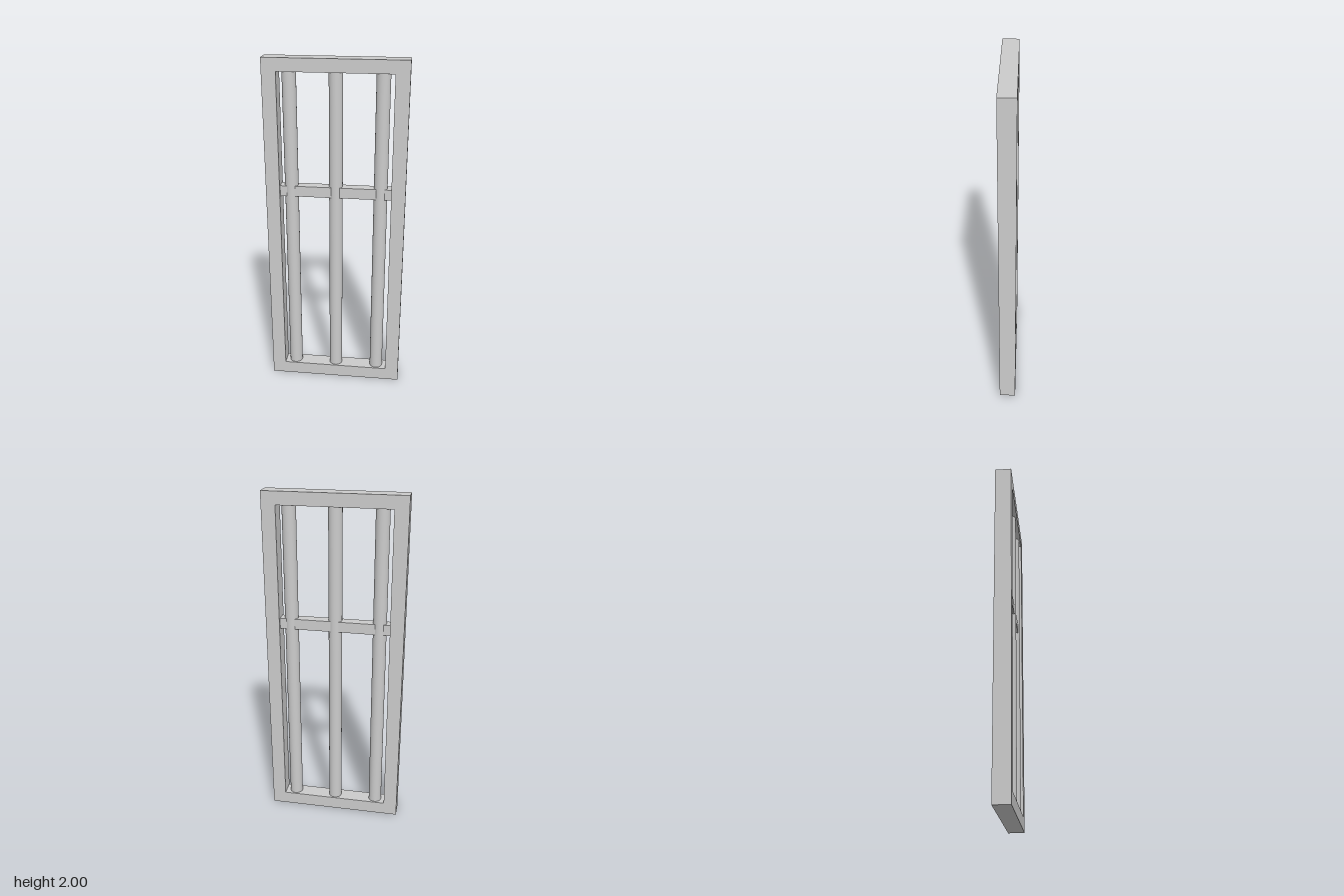
import * as THREE from 'three';

export function createModel() {
  const model = new THREE.Group();
  const material = new THREE.MeshStandardMaterial({ color: 0xcccccc });
  const add = (name, geometry, x, y, z) => {
    const mesh = new THREE.Mesh(geometry, material);
    mesh.name = name;
    mesh.position.set(x, y, z);
    model.add(mesh);
  };

  const width = 0.8, height = 2, depth = 0.096;
  const innerX = 0.32, innerBottom = 0.077, innerTop = 1.926;

  // Rectangular frame with one opening
  const outline = new THREE.Shape([
    new THREE.Vector2(-width / 2, 0), new THREE.Vector2(width / 2, 0),
    new THREE.Vector2(width / 2, height), new THREE.Vector2(-width / 2, height),
  ]);
  outline.holes.push(new THREE.Path([
    new THREE.Vector2(-innerX, innerBottom), new THREE.Vector2(-innerX, innerTop),
    new THREE.Vector2(innerX, innerTop), new THREE.Vector2(innerX, innerBottom),
  ]));
  add('frame', new THREE.ExtrudeGeometry(outline, { depth, bevelEnabled: false }), 0, 0, -depth / 2);

  // Round upright bars
  const barHeight = innerTop - innerBottom;
  const barGeometry = new THREE.CylinderGeometry(0.039, 0.039, barHeight, 32);
  ['rightBar', 'middleBar', 'leftBar'].forEach((name, i) => {
    add(name, barGeometry, (i - 1) * 0.257, innerBottom + barHeight / 2, 0);
  });

  // Square cross rail through the bars
  add('crossRail', new THREE.BoxGeometry(innerX * 2, 0.062, 0.062), 0, 1.244, 0);

  return model;
}
